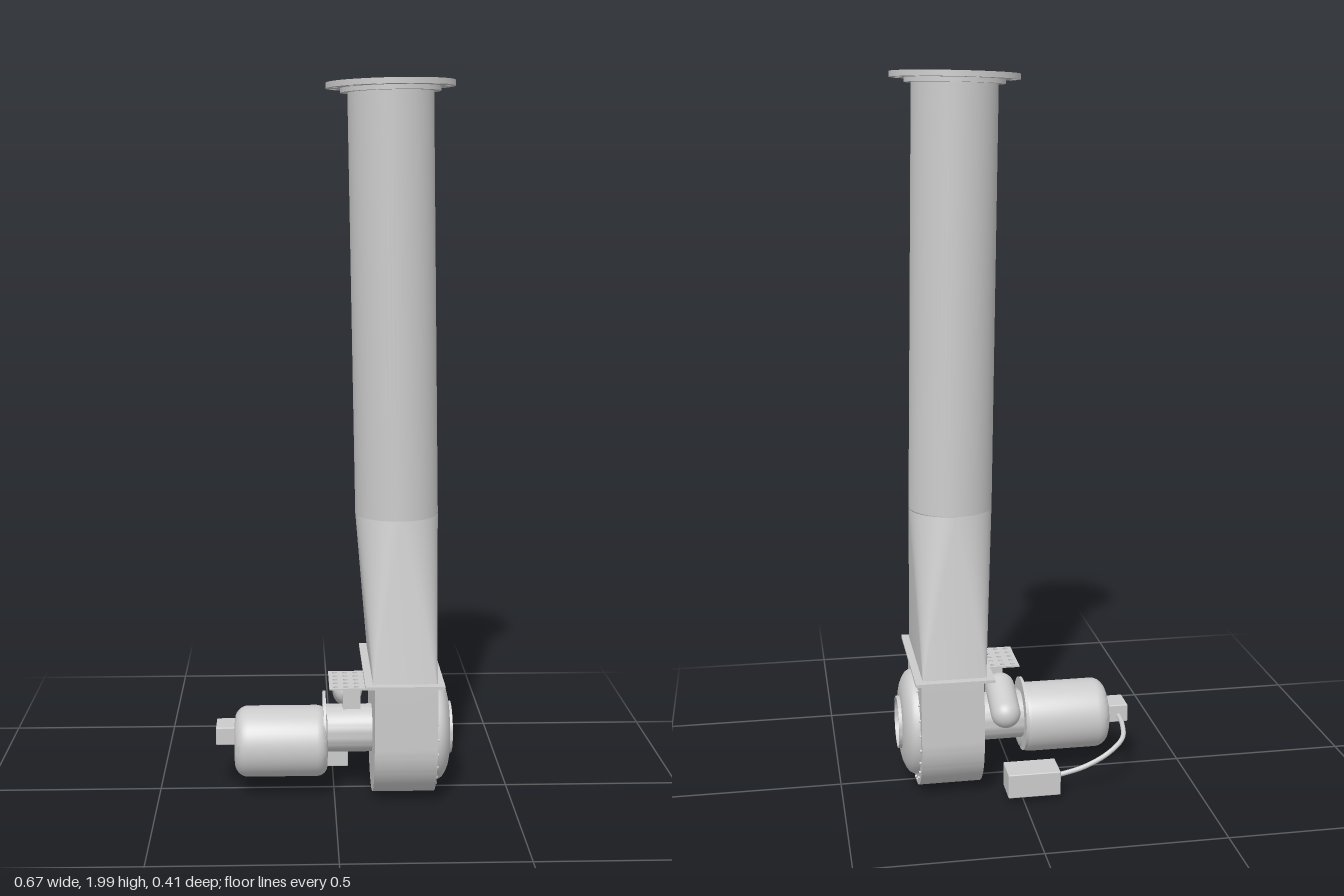
import * as THREE from 'three';
import { toCreasedNormals } from 'three/addons/utils/BufferGeometryUtils.js';
import { RoundedBoxGeometry } from 'three/addons/geometries/RoundedBoxGeometry.js';

const grey = new THREE.MeshStandardMaterial({ color: 0xcccccc, side: THREE.DoubleSide });

function add(parent, name, geometry, x = 0, y = 0, z = 0) {
  const mesh = new THREE.Mesh(geometry, grey);
  mesh.name = name;
  mesh.position.set(x, y, z);
  parent.add(mesh);
  return mesh;
}

const circle = (x, y, r) => new THREE.Path().absarc(x, y, r, 0, Math.PI * 2, true);

function rect(x0, y0, x1, y1) {
  return new THREE.Shape([[x0, y0], [x1, y0], [x1, y1], [x0, y1]].map(p => new THREE.Vector2(...p)));
}

function extrude(shape, depth) {
  const g = new THREE.ExtrudeGeometry(shape, { depth, bevelEnabled: false, curveSegments: 32 });
  return toCreasedNormals(g, 0.5);
}

// Horizontal sheet: shape y becomes z, thickness runs upward
const sheet = (shape, depth) => extrude(shape, depth).rotateX(Math.PI / 2).translate(0, depth, 0);

// Surface of revolution about the x axis, from [radius, x] pairs
function turned(points, segments = 56) {
  const g = new THREE.LatheGeometry(points.map(p => new THREE.Vector2(...p)), segments);
  return toCreasedNormals(g.rotateZ(-Math.PI / 2).scale(1, 1, 1), 0.6);
}

// U-shaped outline, closed at the top, round at the bottom
function uShape(r, top) {
  const s = new THREE.Shape();
  s.moveTo(r, top);
  s.lineTo(-r, top);
  s.lineTo(-r, AXIS);
  s.absarc(0, AXIS, r, Math.PI, Math.PI * 2, false);
  s.closePath();
  return s;
}
const AXIS = 0.187;

// Loft from a rectangle to a circle: a cone per corner and a flat triangle per side
function squareToRound(hx, hz, r, bottom, top) {
  const pos = [], n = 14;
  const put = (...pts) => pts.forEach(p => pos.push(p.x, p.y, p.z));
  const onCircle = a => new THREE.Vector3(top.x + r * Math.cos(a), top.y, top.z + r * Math.sin(a));
  const corner = q => {
    const a = (q + 0.5) * Math.PI / 2;
    return new THREE.Vector3(bottom.x + hx * Math.sign(Math.cos(a)), bottom.y, bottom.z + hz * Math.sign(Math.sin(a)));
  };
  for (let q = 0; q < 4; q++) {
    const c = corner(q), a0 = q * Math.PI / 2;
    for (let i = 0; i < n; i++) {
      const s = Math.PI / 2 / n;
      put(c, onCircle(a0 + i * s), onCircle(a0 + (i + 1) * s));
    }
    put(c, onCircle(a0 + Math.PI / 2), corner(q + 1));
  }
  const g = new THREE.BufferGeometry();
  g.setAttribute('position', new THREE.Float32BufferAttribute(pos, 3));
  return toCreasedNormals(g, 0.3);
}

export function createModel() {
  const model = new THREE.Group();
  model.name = 'blowerWithStack';

  // Leaning round stack with its bolted top flange
  const base = new THREE.Vector3(0.176, 0.82, 0), tip = new THREE.Vector3(0.151, 2, 0.009);
  const lean = tip.clone().sub(base), length = lean.length() - 0.002;
  const stack = new THREE.Group();
  stack.name = 'stack';
  stack.position.copy(base);
  stack.quaternion.setFromUnitVectors(new THREE.Vector3(0, 1, 0), lean.normalize());
  model.add(stack);
  add(stack, 'pipe', new THREE.CylinderGeometry(0.116, 0.116, length, 64, 1, true), 0, length / 2);
  add(stack, 'pipeFloor', new THREE.CircleGeometry(0.116, 64).rotateX(-Math.PI / 2), 0, 0.003);
  const ring = new THREE.Shape().absarc(0, 0, 0.174, 0, Math.PI * 2);
  ring.holes.push(circle(0, 0, 0.116));
  for (let i = 0; i < 12; i++) {
    const a = (i + 0.5) * Math.PI / 6;
    ring.holes.push(circle(0.157 * Math.cos(a), 0.157 * Math.sin(a), 0.0095));
  }
  add(stack, 'topFlange', sheet(ring, 0.015), 0, length - 0.015);
  const collar = new THREE.Shape().absarc(0, 0, 0.135, 0, Math.PI * 2);
  collar.holes.push(circle(0, 0, 0.115));
  add(stack, 'flangeCollar', sheet(collar, 0.012), 0, length - 0.027);

  // Transition duct and the plate it stands on
  add(model, 'transition', squareToRound(0.088, 0.178, 0.116, new THREE.Vector3(0.191, 0.372, 0), base));
  const mount = rect(0.081, -0.201, 0.3, 0.201);
  mount.holes.push(rect(0.115, -0.17, 0.27, 0.17));
  add(model, 'mountingPlate', sheet(mount, 0.008), 0, 0.368);

  // Hollow fan housing: wrapper, back wall, front wall with the inlet opening
  const wrapper = uShape(0.18, 0.37);
  wrapper.holes.push(uShape(0.172, 0.362));
  add(model, 'housingWrapper', extrude(wrapper, 0.162).rotateY(Math.PI / 2), 0.115);
  add(model, 'housingBack', extrude(uShape(0.18, 0.37), 0.008).rotateY(Math.PI / 2), 0.108);
  const face = uShape(0.18, 0.37);
  face.holes.push(circle(0, AXIS, 0.1));
  add(model, 'housingFront', extrude(face, 0.008).rotateY(Math.PI / 2), 0.275);

  // Domed inlet with a short lip, ringed by small bolts
  add(model, 'inletDome', turned([[0.15, 0.28], [0.148, 0.295], [0.142, 0.305], [0.13, 0.314],
    [0.112, 0.322], [0.095, 0.326], [0.078, 0.327]]), 0, AXIS);
  add(model, 'inletLip', turned([[0.074, 0.318], [0.074, 0.336], [0.07, 0.336], [0.07, 0.28]]), 0, AXIS);
  const bolts = new THREE.Group();
  bolts.name = 'inletBolts';
  model.add(bolts);
  for (let i = 0; i < 24; i++) {
    const a = (i + 0.5) * Math.PI / 12;
    add(bolts, 'bolt', new THREE.CylinderGeometry(0.004, 0.004, 0.006, 8).rotateZ(Math.PI / 2),
      0.285, AXIS + 0.164 * Math.cos(a), 0.164 * Math.sin(a));
  }

  // Shaft neck, coupling disc and motor
  add(model, 'neck', turned([[0, -0.03], [0.068, -0.03], [0.068, 0.11]]), 0, AXIS);
  add(model, 'couplingDisc', turned([[0, -0.032], [0.106, -0.032], [0.106, -0.024], [0, -0.024]]), 0, AXIS);
  const profile = [[0, -0.283]];
  for (let i = 0; i <= 6; i++) {
    const a = i * Math.PI / 12;
    profile.push([0.062 + 0.038 * Math.sin(a), -0.245 - 0.038 * Math.cos(a)]);
  }
  for (let i = 0; i <= 6; i++) {
    const a = i * Math.PI / 12;
    profile.push([0.07 + 0.03 * Math.cos(a), -0.05 + 0.03 * Math.sin(a)]);
  }
  profile.push([0, -0.02]);
  add(model, 'motor', turned(profile), 0, 0.162, 0.033);
  add(model, 'motorTerminalBox', new RoundedBoxGeometry(0.056, 0.052, 0.08, 2, 0.003), -0.309, 0.18, 0.004);

  // Control box and the cable to the motor
  add(model, 'controlBox', new RoundedBoxGeometry(0.149, 0.07, 0.091, 2, 0.003), -0.029, 0.057, -0.16);
  const route = [[-0.31, 0.175, -0.03], [-0.31, 0.165, -0.08], [-0.298, 0.145, -0.13], [-0.25, 0.115, -0.158],
    [-0.18, 0.08, -0.16], [-0.1, 0.06, -0.16]].map(p => new THREE.Vector3(...p));
  add(model, 'cable', new THREE.TubeGeometry(new THREE.CatmullRomCurve3(route), 48, 0.007, 12));

  // Sloping side cylinder with rounded ends
  const actuator = add(model, 'sideCylinder', new THREE.CapsuleGeometry(0.0415, 0.105, 10, 32), 0.0415, 0.268, -0.085);
  actuator.rotation.x = Math.PI / 2 - 0.38;

  // Perforated bracket plate and its post
  const bracket = rect(-0.016, -0.03, 0.108, 0.125);
  for (let i = 0; i < 4; i++) for (let j = 0; j < 5; j++) {
    bracket.holes.push(circle(0.002 + i * 0.029, -0.014 + j * 0.031, 0.007));
  }
  add(model, 'bracketPlate', sheet(bracket, 0.005), 0, 0.342);
  add(model, 'bracketPost', new THREE.BoxGeometry(0.05, 0.1, 0.008), 0.05, 0.295, 0.02);

  return model;
}
